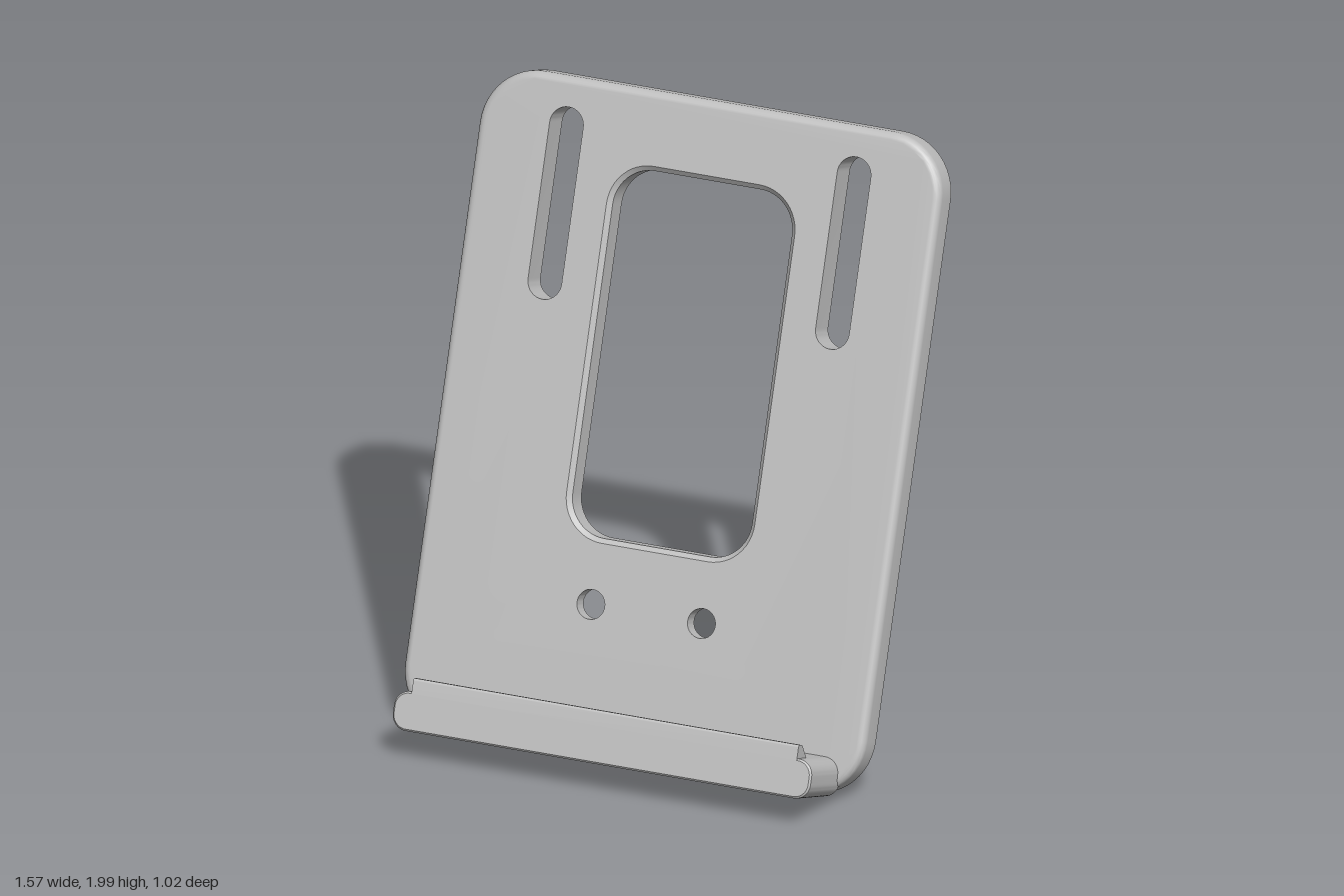
import * as THREE from 'three';
import { mergeGeometries, toCreasedNormals } from 'three/addons/utils/BufferGeometryUtils.js';

const THICK = 0.105;
const TILT = THREE.MathUtils.degToRad(20);

// Rounded rectangle outline, counter-clockwise, grown by an offset
function outline({ x = 0, y = 0, hw, hh, r }, grow = 0, seg = 12) {
  const pts = [];
  const corners = [[1, 1], [-1, 1], [-1, -1], [1, -1]];
  corners.forEach(([sx, sy], c) => {
    for (let i = 0; i <= seg; i++) {
      const a = (c + i / seg) * Math.PI / 2;
      const p = new THREE.Vector2(
        x + sx * (hw - r) + (r + grow) * Math.cos(a),
        y + sy * (hh - r) + (r + grow) * Math.sin(a));
      if (!pts.length || pts[pts.length - 1].distanceTo(p) > 1e-5) pts.push(p);
    }
  });
  if (pts[0].distanceTo(pts[pts.length - 1]) < 1e-5) pts.pop();
  return pts;
}

// Side wall through [grow, z] steps from back to front
function wall(rect, steps, inward = false) {
  const pos = [];
  const rings = steps.map(([g, z]) => outline(rect, g).map(p => [p.x, p.y, z]));
  for (let k = 0; k < rings.length - 1; k++) {
    const a = rings[k], b = rings[k + 1];
    for (let i = 0; i < a.length; i++) {
      const j = (i + 1) % a.length;
      const quad = [a[i], a[j], b[j], a[i], b[j], b[i]];
      if (inward) quad.reverse();
      quad.forEach(p => pos.push(...p));
    }
  }
  const geo = new THREE.BufferGeometry();
  geo.setAttribute('position', new THREE.Float32BufferAttribute(pos, 3));
  return geo;
}

// Flat face at one end of the walls, with the holes cut out
function cap(body, holes, front) {
  const end = steps => steps[front ? steps.length - 1 : 0];
  const [grow, z] = end(body.steps);
  const shape = new THREE.Shape(outline(body.rect, grow));
  shape.holes = holes.map(h => new THREE.Path(outline(h.rect, end(h.steps)[0])));
  const geo = new THREE.ShapeGeometry(shape);
  if (!front) geo.index.array.reverse();
  geo.translate(0, 0, z);
  const flat = geo.toNonIndexed();
  flat.deleteAttribute('uv');
  flat.deleteAttribute('normal');
  return flat;
}

function solid(body, holes = []) {
  const geo = mergeGeometries([
    wall(body.rect, body.steps),
    ...holes.map(h => wall(h.rect, h.steps, true)),
    cap(body, holes, true),
    cap(body, holes, false),
  ]);
  return toCreasedNormals(geo, 0.5);
}

export function createModel() {
  const model = new THREE.Group();
  model.name = 'tiltedStand';
  const grey = new THREE.MeshStandardMaterial({ color: 0xbfbfbf });
  grey.name = 'lightGrey';

  const stand = new THREE.Group();
  stand.name = 'stand';
  stand.position.z = 0.205;
  stand.rotation.x = -TILT;
  model.add(stand);

  const add = (name, geo) => {
    const mesh = new THREE.Mesh(geo, grey);
    mesh.name = name;
    stand.add(mesh);
  };

  // Back plate: small chamfer behind, rounded edge in front
  const fillet = 0.025;
  const steps = [[-0.012, 0], [0, 0.012]];
  for (let i = 0; i <= 6; i++) {
    const a = i / 6 * Math.PI / 2;
    steps.push([fillet * (Math.cos(a) - 1), THICK - fillet + fillet * Math.sin(a)]);
  }
  const plate = { rect: { y: 1.045, hw: 0.785, hh: 1.045, r: 0.19 }, steps };

  // Window with chamfers on both sides
  const c = 0.015;
  const holes = [{
    rect: { y: 1.26, hw: 0.305, hh: 0.581, r: 0.125 },
    steps: [[c, 0], [0, c], [0, THICK - c], [c, THICK]],
  }];
  for (const side of [-1, 1]) {
    // Long slots
    holes.push({
      rect: { x: side * 0.489, y: 1.69, hw: 0.057, hh: 0.304, r: 0.057 },
      steps: [[0, 0], [0, THICK]],
    });
    // Screw holes, countersunk from behind
    holes.push({
      rect: { x: side * 0.188, y: 0.47, hw: 0.047, hh: 0.047, r: 0.047 },
      steps: [[0.028, 0], [0, 0.05], [0, THICK]],
    });
  }
  add('backPlate', solid(plate, holes));

  // Ledge standing out from the foot of the plate
  add('ledge', solid({
    rect: { y: 0.063, hw: 0.71, hh: 0.0625, r: 0.05 },
    steps: [[0, 0.08], [0, 0.322], [-0.006, 0.328]],
  }));

  // Retaining lip along the front of the ledge
  const profile = new THREE.Shape();
  profile.moveTo(-0.328, 0.06);
  profile.lineTo(-0.25, 0.06);
  profile.lineTo(-0.25, 0.125);
  profile.lineTo(-0.288, 0.158);
  profile.quadraticCurveTo(-0.296, 0.168, -0.306, 0.168);
  profile.lineTo(-0.32, 0.168);
  profile.quadraticCurveTo(-0.328, 0.168, -0.328, 0.16);
  const lip = new THREE.ExtrudeGeometry(profile, { depth: 1.31, bevelEnabled: false, curveSegments: 5 });
  lip.translate(0, 0, -0.655);
  lip.rotateY(Math.PI / 2);
  add('lip', toCreasedNormals(lip, 0.5));

  return model;
}
